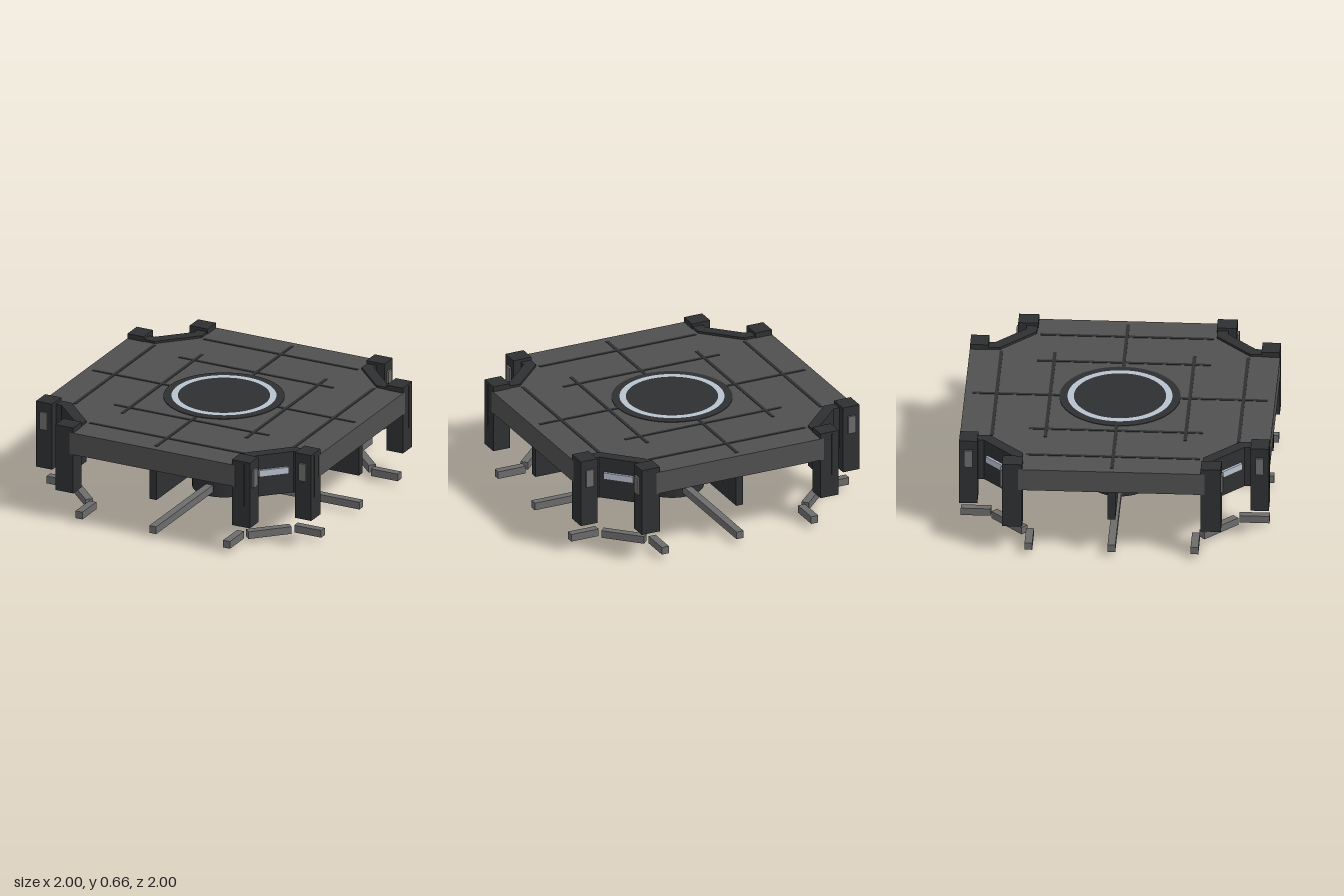
import * as THREE from 'three';

const mat = (color) => new THREE.MeshStandardMaterial({ color });
const plateMat = mat(0x505051), dark = mat(0x2f3032), grey = mat(0x6c6c6c), pale = mat(0xb8c2ce);

function add(parent, name, geometry, material, x = 0, y = 0, z = 0) {
  const mesh = new THREE.Mesh(geometry, material);
  mesh.name = name;
  mesh.position.set(x, y, z);
  parent.add(mesh);
  return mesh;
}

// box given by its min and max on each axis
function block(parent, name, material, [x0, x1], [y0, y1], [z0, z1]) {
  return add(parent, name, new THREE.BoxGeometry(x1 - x0, y1 - y0, z1 - z0), material,
    (x0 + x1) / 2, (y0 + y1) / 2, (z0 + z1) / 2);
}

// outline in x/z, extruded between two heights
function slab(points, y0, y1) {
  const shape = new THREE.Shape(points.map(([x, z]) => new THREE.Vector2(x, z)));
  return new THREE.ExtrudeGeometry(shape, { depth: y1 - y0, bevelEnabled: false })
    .rotateX(Math.PI / 2).translate(0, y1, 0);
}

// one corner: diagonal wall, light strip, two posts and the low rail
function createCorner() {
  const corner = new THREE.Group();
  corner.name = 'corner';
  add(corner, 'cornerWall', slab([
    [0.58, 0.9], [0.58, 0.805], [0.805, 0.58], [0.9, 0.58],
    [0.9, 0.65], [0.84, 0.65], [0.65, 0.84], [0.65, 0.9],
  ], 0.35, 0.635), dark);
  const strip = add(corner, 'lightStrip', new THREE.BoxGeometry(0.2, 0.045, 0.02), pale, 0.75, 0.513, 0.75);
  strip.rotation.y = Math.PI / 4;
  const rail = add(corner, 'lowRail', new THREE.BoxGeometry(0.29, 0.05, 0.05), grey, 0.675, 0.055, 0.675);
  rail.rotation.y = Math.PI / 4;

  for (const swap of [false, true]) {
    const part = (name, material, a, y, b) =>
      block(corner, name, material, swap ? b : a, y, swap ? a : b);
    part('post', dark, [0.575, 0.705], [0.2, 0.655], [0.88, 0.998]);
    part('postPanel', grey, [0.7, 0.718], [0.47, 0.59], [0.912, 0.965]);
    part('postSeam', dark, [0.655, 0.665], [0.35, 0.64], [0.99, 1]);
    part('lowRailEnd', grey, [0.51, 0.56], [0.03, 0.08], [0.8, 0.995]);
  }
  return corner;
}

export function createModel() {
  const model = new THREE.Group();
  model.name = 'platform';

  // deck with notched corners
  const notch = [[1, 0.6], [0.82, 0.6], [0.6, 0.82], [0.6, 1]];
  const outline = [];
  for (let i = 0; i < 4; i++) {
    for (const [x, z] of notch) {
      outline.push([[x, z], [-z, x], [-x, -z], [z, -x]][i]);
    }
  }
  add(model, 'deck', slab(outline, 0.47, 0.62), plateMat);

  // round centre pad
  add(model, 'padRim', new THREE.CylinderGeometry(0.39, 0.39, 0.02, 64), dark, 0, 0.614, 0);
  const ring = new THREE.RingGeometry(0.297, 0.338, 64).rotateX(-Math.PI / 2);
  add(model, 'padLightRing', ring, pale, 0, 0.627, 0);

  // column and hub
  add(model, 'column', new THREE.CylinderGeometry(0.13, 0.13, 0.38, 48), grey, 0, 0.285, 0);
  add(model, 'hub', new THREE.CylinderGeometry(0.205, 0.205, 0.1, 48), dark, 0, 0.05, 0);

  // four equal sides: deck lines, fin, arm and corner
  for (let i = 0; i < 4; i++) {
    const side = new THREE.Group();
    side.name = 'side';
    side.rotation.y = i * Math.PI / 2;
    const lineY = [0.612, 0.623];
    block(side, 'deckLineSpoke', dark, [-0.011, 0.011], lineY, [0.38, 0.95]);
    for (const z of [0.45, 0.795]) {
      block(side, 'deckLine', dark, [-0.56, 0.56], lineY, [z - 0.011, z + 0.011]);
    }
    block(side, 'underFin', dark, [-0.025, 0.025], [0.265, 0.47], [0, 0.99]);
    block(side, 'lowArm', grey, [-0.025, 0.025], [0.03, 0.08], [0.1, 0.995]);
    side.add(createCorner());
    model.add(side);
  }
  return model;
}
